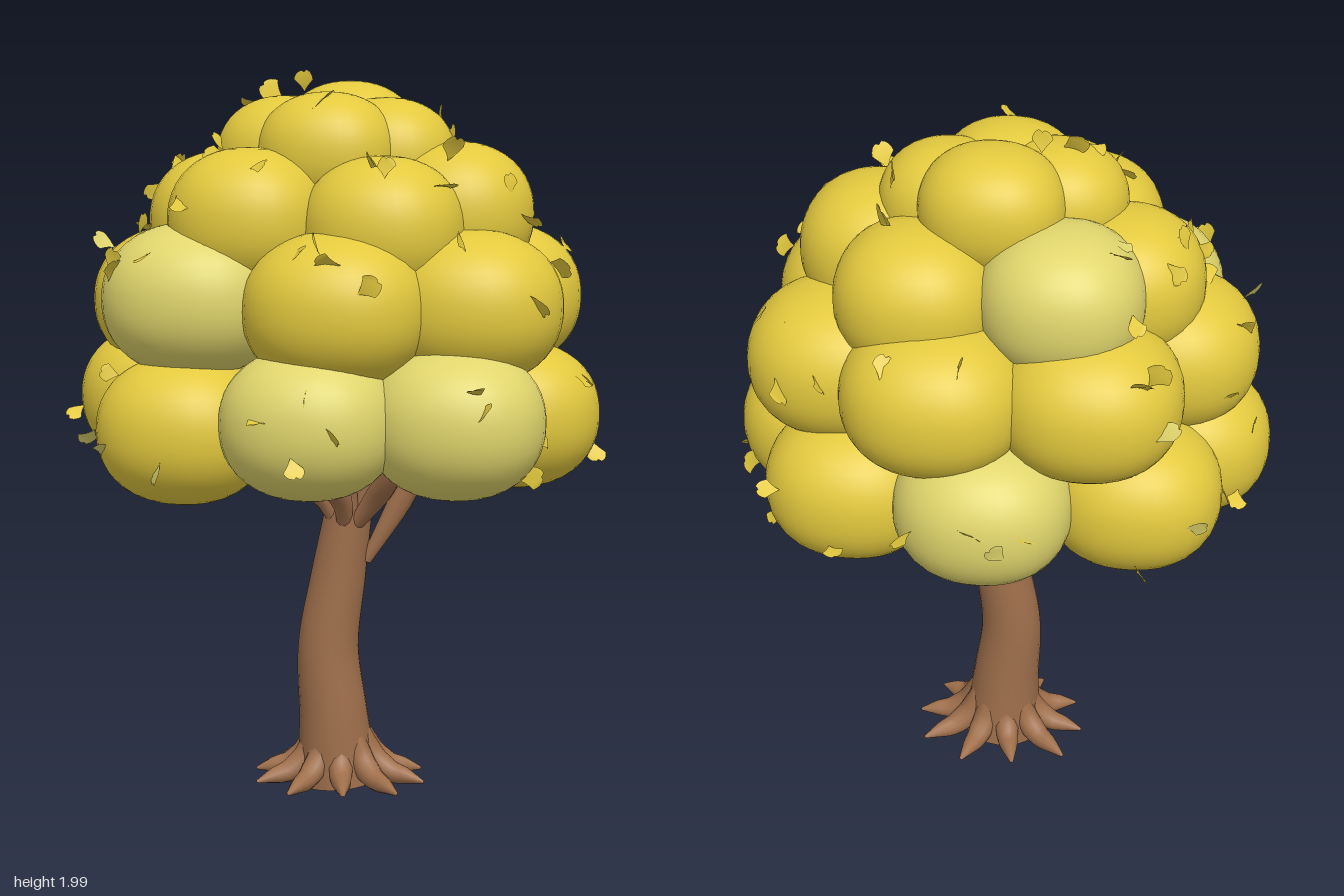
import * as THREE from 'three';

const bark = new THREE.MeshStandardMaterial({ color: 0xa0704c });
const gold = new THREE.MeshStandardMaterial({ color: 0xe3c93e, side: THREE.DoubleSide });
const paleGold = new THREE.MeshStandardMaterial({ color: 0xe0d56c, side: THREE.DoubleSide });
bark.name = 'bark';
gold.name = 'golden foliage';
paleGold.name = 'pale foliage';

// Foliage rings from low to high: height, clump radii, pale clumps,
// and for each clump its centre in x and z and its lift above the ring
const lowRing = {
  y: 1.08, radii: [0.235, 0.2, 0.22], pale: [0, 1, 4],
  spots: [[0, 0.39, 0.01], [0.37, 0.31, 0.01], [0.485, 0, -0.005], [0.36, -0.3, -0.01],
    [0, -0.42, 0.02], [-0.38, -0.28, 0], [-0.5, -0.03, 0.02], [-0.36, 0.29, -0.03]],
};
const middleRing = {
  y: 1.38, radii: [0.245, 0.205, 0.235], pale: [6],
  spots: [[0.06, 0.33, 0], [0.39, 0.19, 0], [0.405, -0.18, 0], [0.13, -0.36, 0.01],
    [-0.26, -0.32, 0], [-0.445, -0.02, -0.01], [-0.34, 0.25, 0.015]],
};
const upperRing = {
  y: 1.6, radii: [0.215, 0.195, 0.21], pale: [4],
  spots: [[-0.2, 0.21, 0], [0.16, 0.21, -0.02], [0.32, 0.01, 0.015], [0.19, -0.23, 0],
    [-0.18, -0.24, 0.02], [-0.325, -0.06, -0.015]],
};
const crown = {
  y: 1.775, radii: [0.19, 0.165, 0.17], pale: [],
  spots: [[-0.01, 0.095, 0], [0.13, -0.01, -0.015], [0.01, -0.125, 0.03], [-0.14, 0.01, -0.01]],
};
const CLUMPS = [lowRing, middleRing, upperRing, crown].flatMap(({ y, radii, pale, spots }) =>
  spots.map(([x, z, lift], i) => ({
    centre: new THREE.Vector3(x, y + lift, z),
    radii: new THREE.Vector3(...radii),
    material: pale.includes(i) ? paleGold : gold,
  })));
const POWER = 2.2; // a little boxier than an ellipsoid

function add(parent, geometry, material, name) {
  const mesh = new THREE.Mesh(geometry, material);
  mesh.name = name;
  parent.add(mesh);
  return mesh;
}

function group(parent, name) {
  const g = new THREE.Group();
  g.name = name;
  parent.add(g);
  return g;
}

function seeded(seed) {
  return () => (seed = (seed * 16807) % 2147483647) / 2147483647;
}

// Length of a vector measured on the boxy sphere
function boxyLength(v) {
  return (Math.abs(v.x) ** POWER + Math.abs(v.y) ** POWER + Math.abs(v.z) ** POWER) ** (1 / POWER);
}

// Rounded boxy sphere
function clumpGeometry(radii) {
  const g = new THREE.SphereGeometry(1, 36, 24);
  const p = g.attributes.position, n = g.attributes.normal;
  const v = new THREE.Vector3();
  const bend = (a) => Math.sign(a) * Math.abs(a) ** (POWER - 1);
  for (let i = 0; i < p.count; i++) {
    v.fromBufferAttribute(p, i);
    v.divideScalar(boxyLength(v));
    p.setXYZ(i, v.x * radii.x, v.y * radii.y, v.z * radii.z);
    v.set(bend(v.x), bend(v.y), bend(v.z)).divide(radii).normalize();
    n.setXYZ(i, v.x, v.y, v.z);
  }
  return g;
}

// Tube whose radius follows a list of values along the path
function taperedTube(points, radii, segments, sides) {
  const path = new THREE.CatmullRomCurve3(points.map((q) => new THREE.Vector3(...q)));
  const g = new THREE.TubeGeometry(path, segments, 1, sides);
  const p = g.attributes.position;
  const v = new THREE.Vector3();
  for (let i = 0; i <= segments; i++) {
    const t = i / segments, c = path.getPointAt(t);
    const f = t * (radii.length - 1), k = Math.min(Math.floor(f), radii.length - 2);
    const r = THREE.MathUtils.lerp(radii[k], radii[k + 1], f - k);
    for (let j = 0; j <= sides; j++) {
      const id = i * (sides + 1) + j;
      v.fromBufferAttribute(p, id).sub(c).multiplyScalar(r).add(c);
      p.setXYZ(id, v.x, v.y, v.z);
    }
  }
  return g;
}

// Small curled fan-shaped leaf, growing along +y
function leafGeometry() {
  const s = new THREE.Shape();
  s.moveTo(0, 0);
  s.quadraticCurveTo(0.01, 0.018, 0.026, 0.032);
  s.quadraticCurveTo(0.024, 0.054, 0.008, 0.06);
  s.lineTo(0, 0.054);
  s.lineTo(-0.006, 0.058);
  s.quadraticCurveTo(-0.022, 0.055, -0.028, 0.034);
  s.quadraticCurveTo(-0.012, 0.02, 0, 0);
  const g = new THREE.ShapeGeometry(s, 5);
  const p = g.attributes.position;
  for (let i = 0; i < p.count; i++) {
    p.setZ(i, p.getX(i) ** 2 * 10 + p.getY(i) ** 2 * 3);
  }
  g.computeVertexNormals();
  return g;
}

export function createModel() {
  const tree = new THREE.Group();
  tree.name = 'tree';

  // Curved trunk with a closed foot
  add(tree, taperedTube(
    [[0, 0.015, 0], [-0.012, 0.2, 0.005], [-0.027, 0.4, 0.005], [0, 0.6, 0], [0.03, 0.79, 0]],
    [0.115, 0.096, 0.085, 0.077, 0.066], 28, 24), bark, 'trunk');
  add(tree, new THREE.CircleGeometry(0.115, 24).rotateX(Math.PI / 2).translate(0, 0.015, 0), bark, 'trunkFoot');

  // Spreading roots
  const roots = group(tree, 'roots');
  const ROOTS = 10;
  for (let i = 0; i < ROOTS; i++) {
    const a = ((i + 0.15) / ROOTS) * Math.PI * 2;
    const reach = 1 + 0.06 * Math.sin(i * 2.4);
    const at = (r, y) => [Math.cos(a) * r * reach, y, Math.sin(a) * 0.84 * r * reach];
    add(roots, taperedTube([at(0.07, 0.17), at(0.1, 0.09), at(0.15, 0.048), at(0.2, 0.036), at(0.25, 0.022)],
      [0.018, 0.034, 0.035, 0.026, 0.004], 14, 10), bark, 'root');
  }

  // Branches fanning out to the lowest clumps; the one on the left starts lower
  const branches = group(tree, 'branches');
  lowRing.spots.forEach(([x, z], i) => {
    const low = i === 2 ? 0.65 : 0.73;
    const side = i === 2 ? 0.06 : 0.02;
    const spread = x < -0.1 ? 0.36 : 0.49;
    add(branches, taperedTube(
      [[side + x * 0.04, low, z * 0.06], [0.03 + x * spread * 0.45, low + 0.1, z * spread * 0.5],
        [x * spread, 0.93, z * spread], [x * spread * 1.5, 1.14, z * spread * 1.5]],
      [0.016, 0.034, 0.027, 0.02], 14, 10), bark, 'branch');
  });
  // Steeper branches up into the crown
  for (let i = 0; i < 5; i++) {
    const a = i * Math.PI * 0.4 + 0.3, c = Math.cos(a), s = Math.sin(a);
    add(branches, taperedTube(
      [[0.03 + c * 0.02, 0.72, s * 0.02], [0.03 + c * 0.08, 0.95, s * 0.08], [c * 0.28, 1.34, s * 0.28]],
      [0.034, 0.027, 0.016], 12, 10), bark, 'innerBranch');
  }

  // Foliage
  const foliage = group(tree, 'foliage');
  for (const { centre, radii, material } of CLUMPS) {
    add(foliage, clumpGeometry(radii), material, 'foliageClump').position.copy(centre);
  }

  // Loose leaves scattered over the outside of the clumps
  const leaves = group(tree, 'leaves');
  const random = seeded(4711);
  const jitter = (size) => new THREE.Vector3(random() - 0.5, random() - 0.5, random() - 0.5).multiplyScalar(size);
  const leafShape = leafGeometry();
  const up = new THREE.Vector3(0, 1, 0);
  for (let i = 0; i < 3000 && leaves.children.length < 85; i++) {
    const clump = CLUMPS[i % CLUMPS.length];
    const { centre, radii } = clump;
    const out = new THREE.Vector3(centre.x, (centre.y - 1.1) * 0.8, centre.z).normalize();
    const d = jitter(1.5).add(out).normalize();
    const spot = d.clone().divideScalar(boxyLength(d)).multiply(radii).add(centre);
    const hidden = CLUMPS.some((other) => other !== clump &&
      boxyLength(spot.clone().sub(other.centre).divide(other.radii)) < 1);
    if (hidden || spot.y < 0.95 || spot.y > 1.93) continue;
    const leaf = add(leaves, leafShape, random() < 0.15 ? paleGold : gold, 'leaf');
    leaf.quaternion.setFromUnitVectors(up, jitter(2.4).addScaledVector(d, 0.45).normalize());
    leaf.rotateY(random() * Math.PI * 2);
    leaf.position.copy(spot);
    leaf.scale.setScalar(0.9 + random() * 0.4);
  }
  // Topmost leaf
  add(leaves, leafShape, gold, 'topLeaf').position.set(-0.11, 1.94, -0.08);

  return tree;
}
